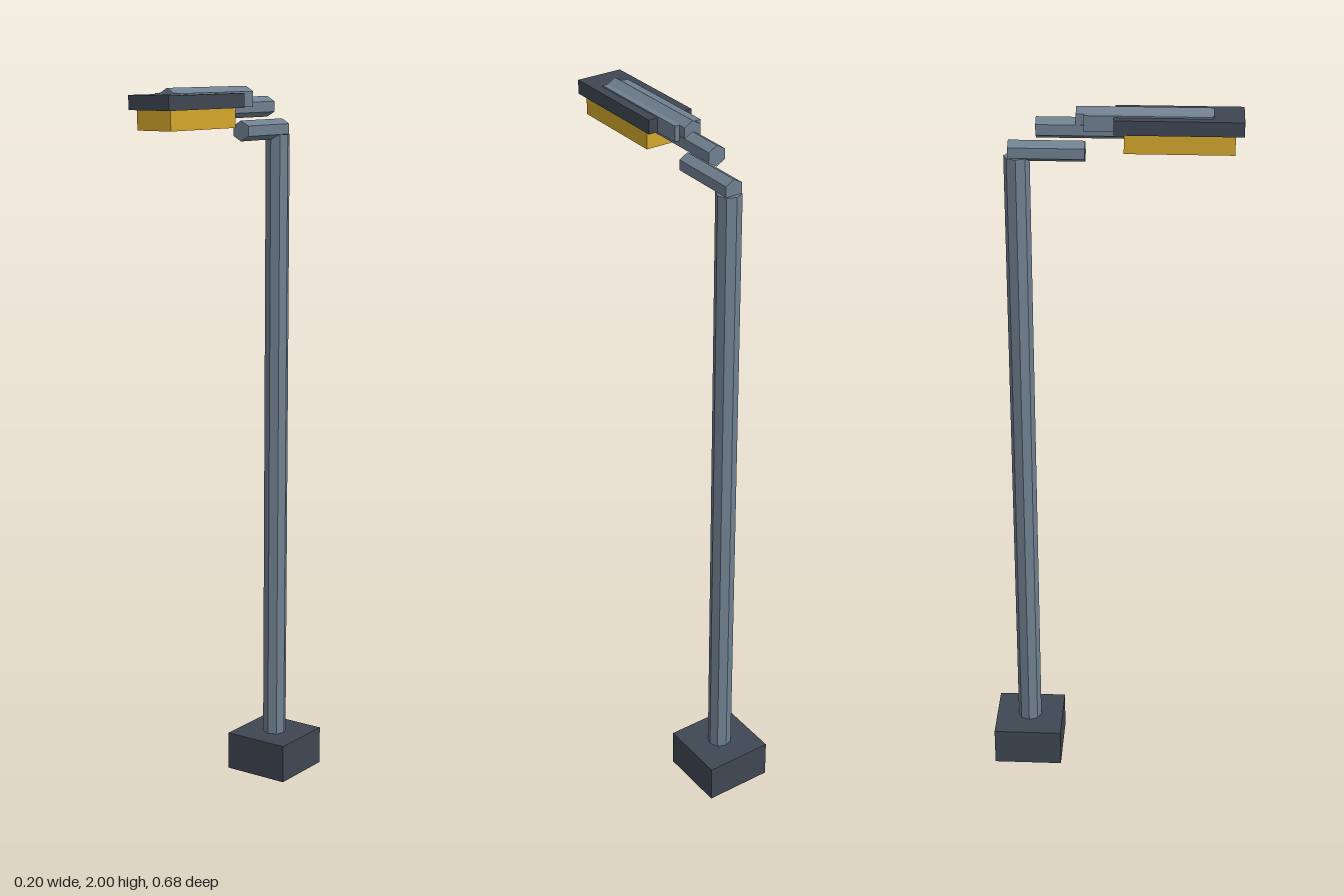
import * as THREE from 'three';

const metal = new THREE.MeshStandardMaterial({ color: 0x708090, flatShading: true });
const dark = new THREE.MeshStandardMaterial({ color: 0x3f4753, flatShading: true });
const amber = new THREE.MeshStandardMaterial({ color: 0xd4a72c, flatShading: true });

export function createModel() {
  const group = new THREE.Group();

  const add = (name, geometry, material) => {
    const mesh = new THREE.Mesh(geometry, material);
    mesh.name = name;
    group.add(mesh);
    return mesh;
  };

  // Box centred on x, given its width and its y and z ranges
  const box = (name, width, y0, y1, z0, z1, material) =>
    add(name, new THREE.BoxGeometry(width, y1 - y0, z1 - z0), material)
      .position.set(0, (y0 + y1) / 2, (z0 + z1) / 2);

  // Six-sided bar along z with a ridge on top
  const bar = (name, y, z0, z1) => {
    const geometry = new THREE.CylinderGeometry(0.028, 0.028, z1 - z0, 6);
    geometry.rotateX(Math.PI / 2);
    add(name, geometry, metal).position.set(0, y, (z0 + z1) / 2);
  };

  // Footing and eight-sided post
  box('base', 0.196, 0, 0.11, -0.34, -0.144, dark);
  add('pole', new THREE.CylinderGeometry(0.034, 0.034, 1.765, 8), metal)
    .position.set(0, 0.9825, -0.242);

  // Stepped arm reaching forward
  bar('lowerArm', 1.88, -0.263, -0.065);
  bar('middleArm', 1.943, -0.19, 0.06);
  bar('upperArm', 1.972, -0.087, 0.263);

  // Lamp head
  box('armBracket', 0.078, 1.945, 1.987, -0.066, 0.262, metal);
  box('lampHousing', 0.13, 1.945, 1.983, 0.01, 0.34, dark);
  box('lampLens', 0.108, 1.893, 1.946, 0.036, 0.318, amber);

  return group;
}
